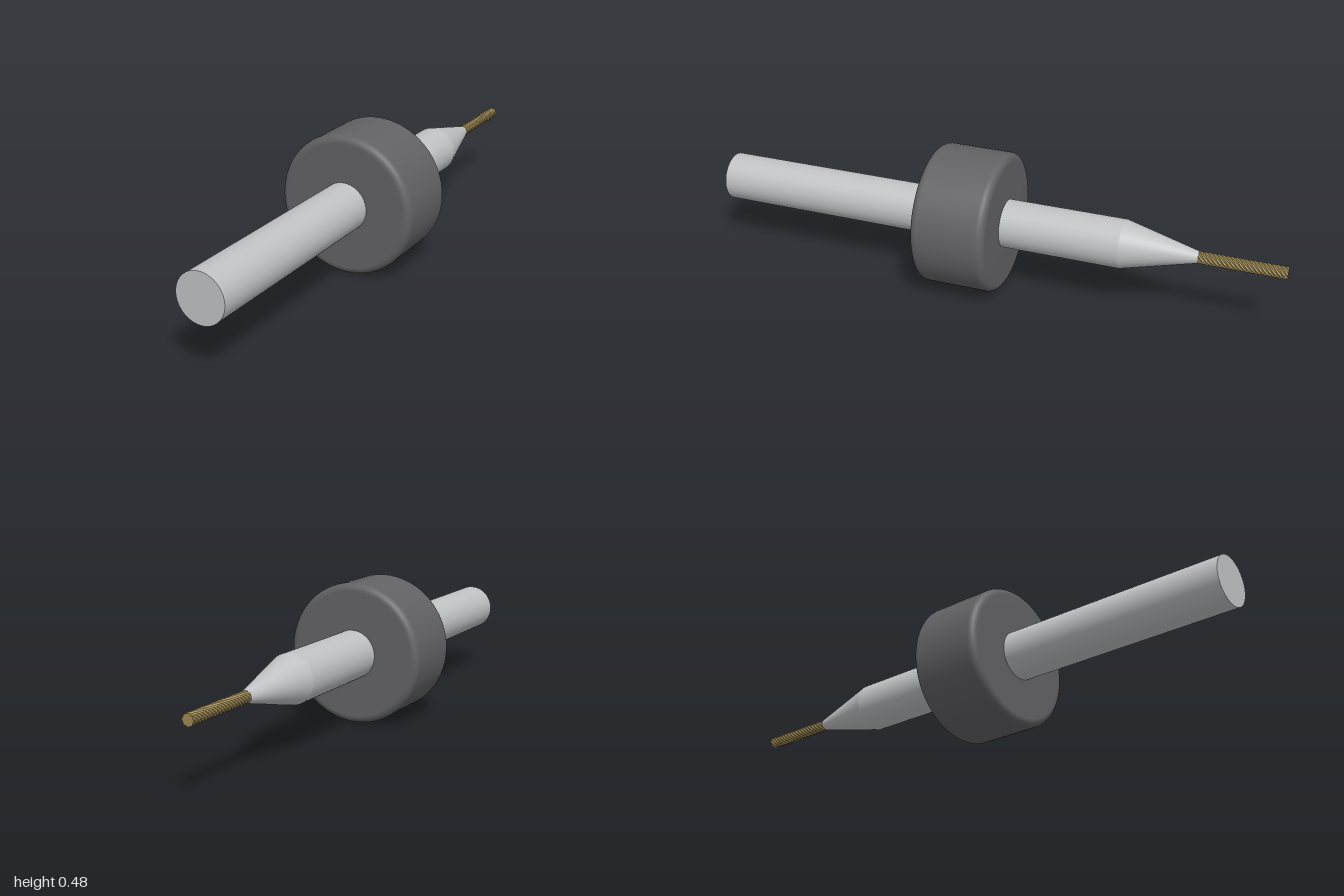
import * as THREE from 'three';

const AXIS_Y = 0.2415; // height of the tool axis

export function createModel() {
  const steel = new THREE.MeshStandardMaterial({ color: 0xbfc1c3 });
  steel.name = 'steel';
  const darkPlastic = new THREE.MeshStandardMaterial({ color: 0x626265 });
  darkPlastic.name = 'dark plastic';
  const brass = new THREE.MeshStandardMaterial({ color: 0x9c8852 });
  brass.name = 'brass';

  const model = new THREE.Group();
  model.name = 'rotaryBurr';

  // Lays a y-axis geometry along z and centres it on the tool axis
  const add = (name, geometry, material, z) => {
    const mesh = new THREE.Mesh(geometry.rotateX(Math.PI / 2), material);
    mesh.name = name;
    mesh.position.set(0, AXIS_Y, z);
    model.add(mesh);
  };
  // Cylinder between two z positions, radii given at the front and back
  const rod = (name, rFront, rBack, zFront, zBack) =>
    add(name, new THREE.CylinderGeometry(rFront, rBack, zFront - zBack, 64), steel, (zFront + zBack) / 2);

  // Shank and tapered neck
  rod('shank', 0.083, 0.083, 1, -0.46);
  rod('taperedNeck', 0.083, 0.02, -0.46, -0.712);

  // Depth ring with rounded rims
  const R = 0.2415, half = 0.13, round = 0.026, steps = 8;
  const profile = [new THREE.Vector2(0.08, -half)];
  for (const side of [-1, 1]) {
    for (let i = 0; i <= steps; i++) {
      const a = (side < 0 ? i / steps - 1 : i / steps) * Math.PI / 2;
      profile.push(new THREE.Vector2(
        R - round + round * Math.cos(a),
        side * (half - round) + round * Math.sin(a)));
    }
  }
  profile.push(new THREE.Vector2(0.08, half));
  add('depthRing', new THREE.LatheGeometry(profile, 64), darkPlastic, 0.08);

  // Cutting tip: alternate vertices raised into diamond teeth
  const sides = 16, rows = 40, length = 0.29;
  const tip = new THREE.CylinderGeometry(0.021, 0.021, length, sides, rows);
  const p = tip.attributes.position;
  for (let i = 0; i < p.count; i++) {
    const column = Math.round(Math.atan2(p.getX(i), p.getZ(i)) / (2 * Math.PI) * sides);
    const row = Math.round((p.getY(i) / length + 0.5) * rows);
    const k = (column + row) % 2 === 0 ? 1 : 0.84;
    p.setXYZ(i, p.getX(i) * k, p.getY(i), p.getZ(i) * k);
  }
  const faceted = tip.toNonIndexed();
  faceted.computeVertexNormals();
  add('cuttingTip', faceted, brass, -0.855);

  return model;
}
